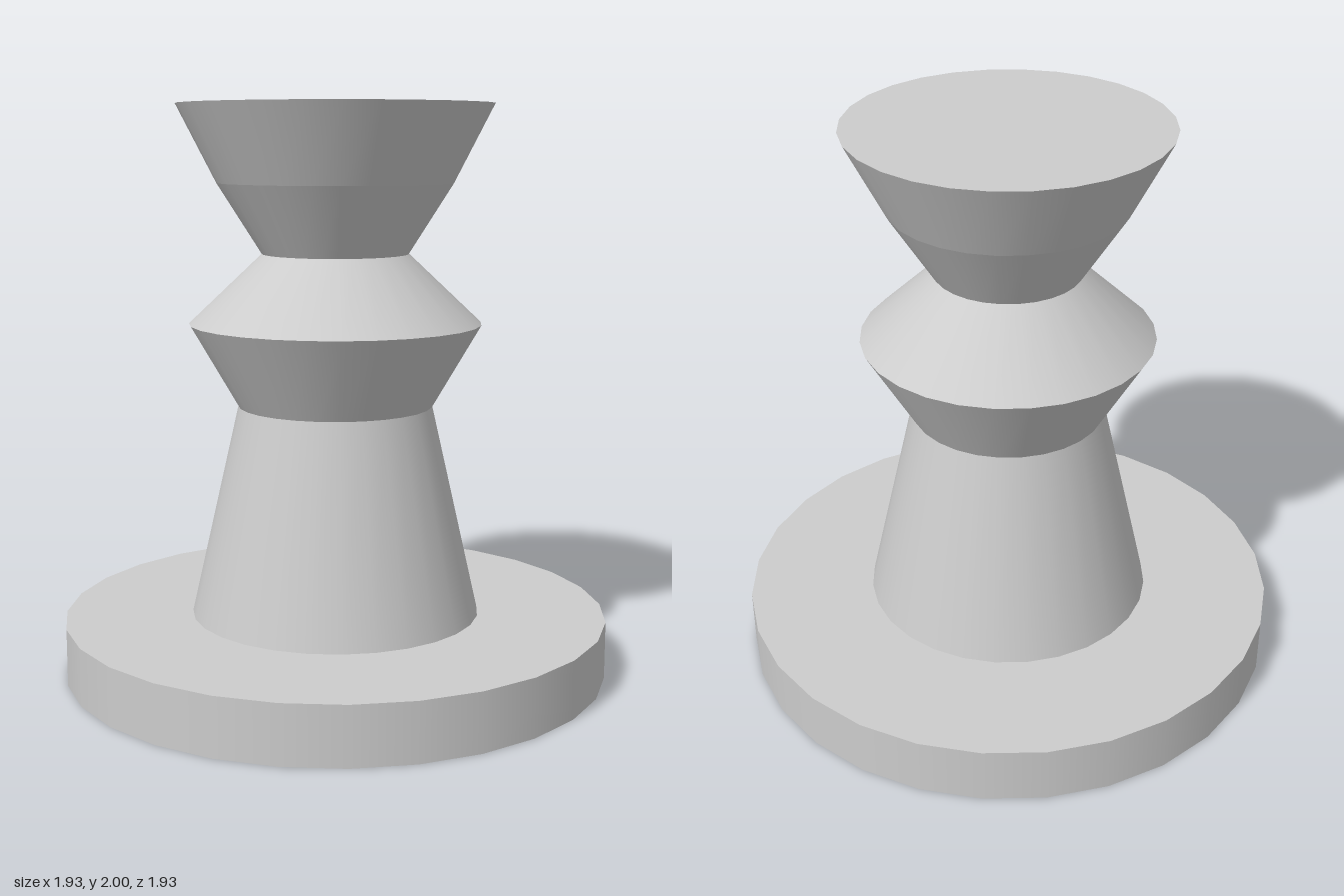
import * as THREE from 'three';

const SIDES = 28;

export function createModel() {
  const group = new THREE.Group();
  group.name = 'pedestal';
  const grey = new THREE.MeshStandardMaterial({ color: 0xcccccc });
  grey.name = 'light grey';

  // One turned section between two heights; the caps of neighbours close it
  const section = (name, y0, r0, y1, r1, open = true) => {
    const geometry = new THREE.CylinderGeometry(r1, r0, y1 - y0, SIDES, 1, open);
    const mesh = new THREE.Mesh(geometry, grey);
    mesh.name = name;
    mesh.position.y = (y0 + y1) / 2;
    group.add(mesh);
    return mesh;
  };

  // Wide round foot
  section('baseDisc', 0, 0.965, 0.203, 0.965, false);
  // Tapered column
  section('column', 0.203, 0.513, 0.95, 0.343);
  // Double-cone collar
  section('collarLower', 0.95, 0.343, 1.243, 0.513);
  section('collarUpper', 1.243, 0.513, 1.485, 0.257);
  // Flared head with a slight bend and a flat top
  section('headLower', 1.485, 0.257, 1.73, 0.412);
  section('headUpper', 1.73, 0.412, 2, 0.55, false);

  return group;
}
